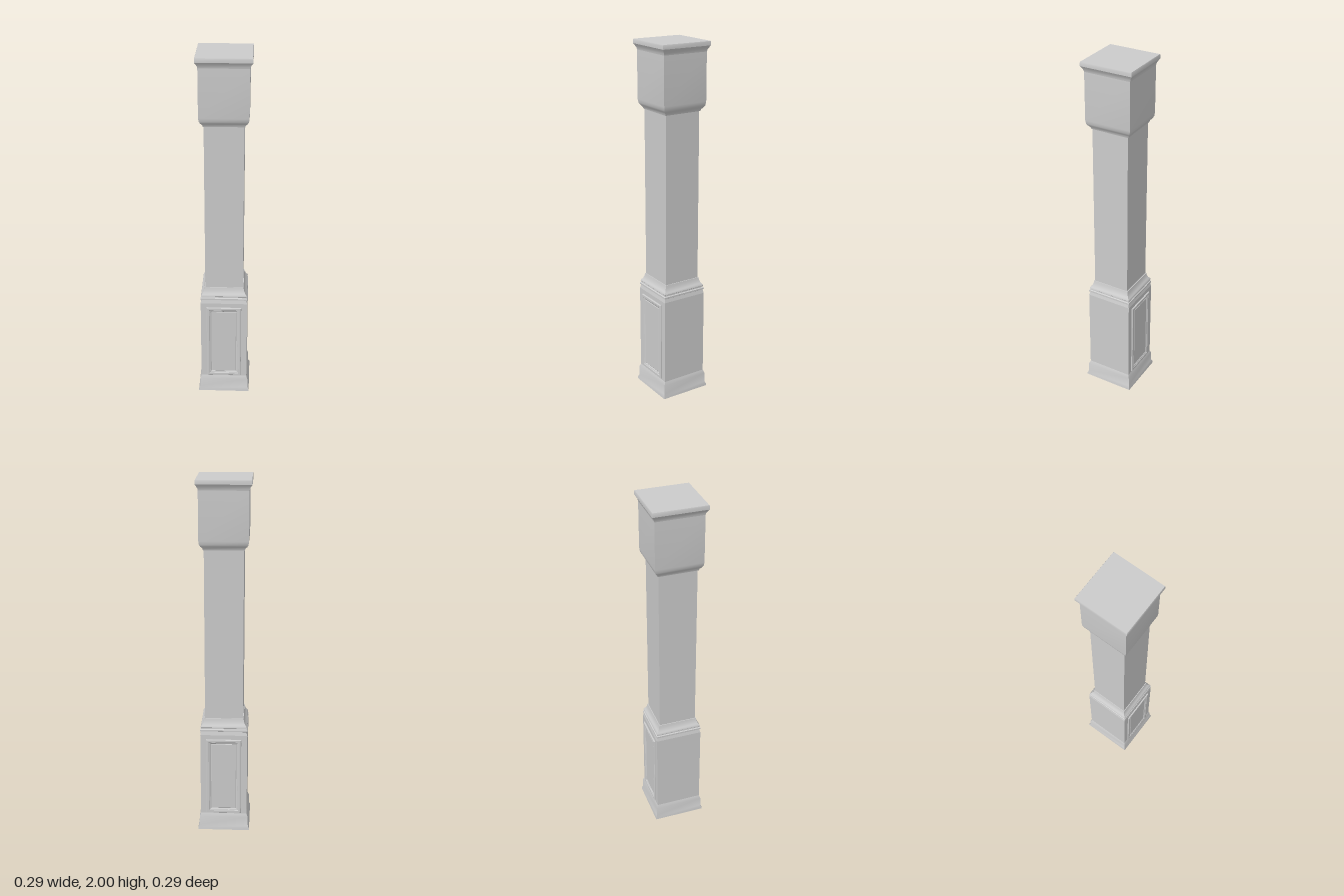
import * as THREE from 'three';
import { toCreasedNormals } from 'three/addons/utils/BufferGeometryUtils.js';

const material = new THREE.MeshStandardMaterial({ color: 0xcccccc, side: THREE.DoubleSide });

// Skins a stack of rectangles, each [half width, half depth, height].
function rectLoft(rings, capped) {
  const positions = [];
  const index = [];
  for (const [w, d, y] of rings) {
    positions.push(-w, y, d, w, y, d, w, y, -d, -w, y, -d);
  }
  for (let i = 0; i < rings.length - 1; i++) {
    for (let k = 0; k < 4; k++) {
      const a = i * 4 + k;
      const b = i * 4 + (k + 1) % 4;
      index.push(a, b, b + 4, a, b + 4, a + 4);
    }
  }
  if (capped) {
    const t = (rings.length - 1) * 4;
    index.push(t, t + 1, t + 2, t, t + 2, t + 3);
  }
  const geometry = new THREE.BufferGeometry();
  geometry.setAttribute('position', new THREE.Float32BufferAttribute(positions, 3));
  geometry.setIndex(index);
  return toCreasedNormals(geometry, 0.45);
}

function part(name, geometry) {
  const mesh = new THREE.Mesh(geometry, material);
  mesh.name = name;
  return mesh;
}

// Square section of the column from a profile of [half width, height].
function squarePart(name, profile, capped = false) {
  return part(name, rectLoft(profile.map(([r, y]) => [r, r, y]), capped));
}

export function createModel() {
  const column = new THREE.Group();
  column.name = 'column';

  // Hollow plinth, open underneath
  column.add(squarePart('plinth', [
    [0.146, 0], [0.146, 0.01], [0.139, 0.025], [0.138, 0.08], [0.131, 0.1],
  ]));
  column.add(squarePart('pedestal', [[0.131, 0.1], [0.131, 0.59]]));

  // Stepped moulding between pedestal and shaft
  column.add(squarePart('pedestalMoulding', [
    [0.131, 0.59], [0.126, 0.61], [0.131, 0.613], [0.131, 0.622], [0.126, 0.626],
    [0.126, 0.632], [0.129, 0.635], [0.126, 0.643], [0.119, 0.65], [0.112, 0.667],
    [0.109, 0.683], [0.105, 0.683],
  ]));
  column.add(squarePart('shaft', [[0.105, 0.683], [0.105, 1.633]]));

  // Capital block with curved underside and flared cap
  column.add(squarePart('capital', [
    [0.105, 1.633], [0.109, 1.633], [0.112, 1.643], [0.122, 1.655],
    [0.128, 1.665], [0.131, 1.685], [0.131, 1.945],
  ]));
  column.add(squarePart('cap', [
    [0.131, 1.945], [0.133, 1.955], [0.14, 1.968], [0.146, 1.977],
    [0.146, 1.995], [0.144, 2],
  ], true));

  // Framed panels on front and back: [inset from outer edge, distance from axis]
  const panelProfile = [
    [0, 0.122], [0, 0.136], [0.003, 0.139], [0.014, 0.139],
    [0.018, 0.136], [0.021, 0.136], [0.027, 0.132], [0.03, 0.134],
  ];
  const panelGeometry = rectLoft(
    panelProfile.map(([inset, z]) => [0.098 - inset, 0.229 - inset, z]), true);
  panelGeometry.rotateX(Math.PI / 2).translate(0, 0.336, 0);
  for (const [name, turn] of [['frontPanel', 0], ['backPanel', Math.PI]]) {
    const panel = part(name, panelGeometry);
    panel.rotation.y = turn;
    column.add(panel);
  }

  return column;
}
